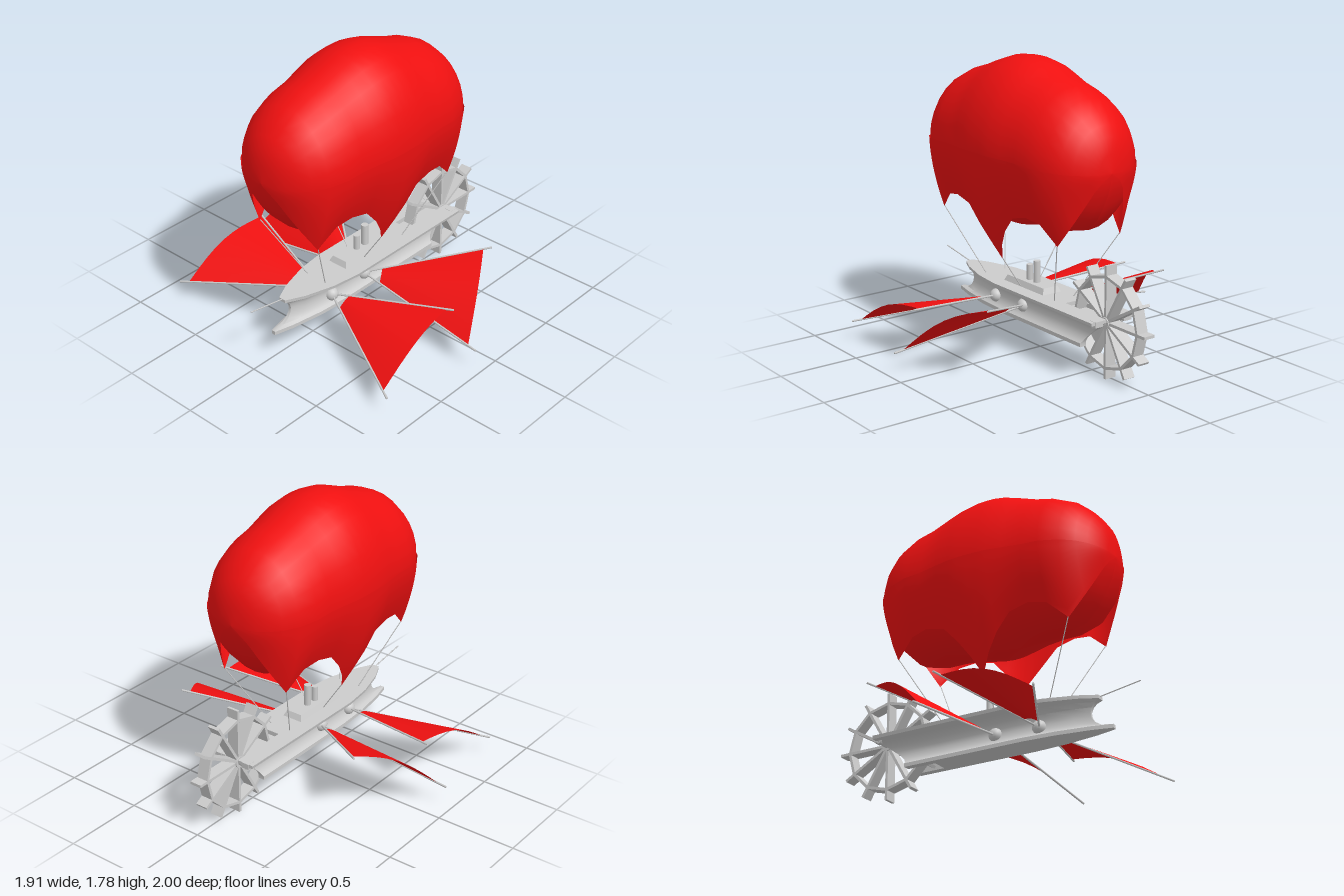
import * as THREE from 'three';
import { toCreasedNormals } from 'three/addons/utils/BufferGeometryUtils.js';

const grey = new THREE.MeshStandardMaterial({ color: 0xcccccc });
const red = new THREE.MeshStandardMaterial({ color: 0xf01010, side: THREE.DoubleSide });
const V = (x, y, z) => new THREE.Vector3(x, y, z);
const { lerp } = THREE.MathUtils;

function add(parent, name, geometry, material = grey, position = [0, 0, 0]) {
  const mesh = new THREE.Mesh(geometry, material);
  mesh.name = name;
  mesh.position.set(...position);
  parent.add(mesh);
  return mesh;
}

// Surface from a rule (u, v) -> point
function surface(nu, nv, rule) {
  const g = new THREE.PlaneGeometry(1, 1, nu, nv);
  const p = g.attributes.position, uv = g.attributes.uv;
  for (let i = 0; i < p.count; i++) p.setXYZ(i, ...rule(uv.getX(i), uv.getY(i)).toArray());
  g.computeVertexNormals();
  return g;
}

// Round rod between two points
function rod(parent, name, a, b, r) {
  const mesh = add(parent, name, new THREE.CylinderGeometry(r, r, a.distanceTo(b), 6));
  mesh.position.copy(a).lerp(b, 0.5);
  mesh.quaternion.setFromUnitVectors(V(0, 1, 0), b.clone().sub(a).normalize());
}

// Envelope stations from the middle to an end:
// [distance, half width, top, bottom, skirt edge x, skirt edge y]
const half = [
  [0, 0.403, 1.78, 0.76, 0.2, 0.57],
  [0.06, 0.402, 1.778, 0.765, 0.245, 0.68],
  [0.13, 0.398, 1.765, 0.78, 0.275, 0.78],
  [0.22, 0.383, 1.735, 0.8, 0.285, 0.88],
  [0.34, 0.364, 1.69, 0.81, 0.285, 0.91],
  [0.45, 0.36, 1.66, 0.81, 0.265, 0.89],
  [0.57, 0.325, 1.605, 0.84, 0.23, 0.78],
  [0.65, 0.275, 1.535, 0.92, 0.18, 0.92],
  [0.7, 0.22, 1.475, 1.0, 0.14, 1.02],
  [0.74, 0.155, 1.415, 1.08, 0.102, 1.11],
  [0.762, 0.085, 1.32, 1.15, 0.062, 1.165],
  [0.77, 0, 1.21, 1.21, 0, 1.21],
];
const stations = [...half.slice(1).reverse().map(([t, ...r]) => [-t, ...r]), ...half];
const midZ = 0.11;
const station = v => stations[Math.round(v * (stations.length - 1))];
const beltY = t => 1.25 - 0.04 * (t / 0.77) ** 2;

function buildEnvelope(root) {
  const rows = stations.length - 1;
  add(root, 'balloon', surface(28, rows, (u, v) => {
    const [t, w, top, bottom] = station(v);
    const a = u * Math.PI * 2 - Math.PI / 2, s = Math.sin(a), cy = beltY(t);
    return V(w * Math.cos(a), cy + s * (s > 0 ? top - cy : cy - bottom), midZ + t);
  }), red);

  // Scalloped cloth hanging over each flank
  const skirt = surface(10, rows, (u, v) => {
    const [t, w, , , ex, ey] = station(v);
    const d = 1 - u;
    return V(lerp(w * 1.02, ex, d ** 1.65), lerp(beltY(t), ey, d), midZ + t * 1.006);
  });
  for (const side of [1, -1]) {
    add(root, side > 0 ? 'leftSkirt' : 'rightSkirt', skirt, red).scale.x = side;
    rod(root, 'frontRope', V(side * 0.23, 0.785, 0.68), V(side * 0.07, 0.365, 0.46), 0.003);
    rod(root, 'middleRope', V(side * 0.2, 0.575, midZ), V(side * 0.06, 0.365, midZ), 0.003);
    rod(root, 'rearRope', V(side * 0.23, 0.785, -0.46), V(side * 0.07, 0.365, -0.23), 0.003);
  }
}

// Hull levels: [height, half width, bow z, stern z]
const levels = [
  [0.16, 0.09, 0.83, -0.5], [0.183, 0.09, 0.83, -0.5], [0.195, 0.075, 0.755, -0.505],
  [0.22, 0.06, 0.715, -0.52], [0.25, 0.053, 0.695, -0.55], [0.28, 0.055, 0.69, -0.59],
  [0.31, 0.07, 0.7, -0.63], [0.335, 0.11, 0.72, -0.67], [0.35, 0.155, 0.75, -0.685],
  [0.37, 0.16, 0.75, -0.685],
];

function buildHull(root) {
  // Plan outline (bow towards +y) with a slot for the wheel, then bent to each level
  const slot = 0.3;
  const edge = [[slot, -0.3], [slot, -1], [1, -1], [1, -0.5], [1, 0], [1, 0.35], [0.85, 0.6], [0.5, 0.85], [0.15, 1]];
  const plan = [...edge, ...edge.slice().reverse().map(([x, f]) => [-x, f])];
  const shape = new THREE.Shape(plan.map(([x, f]) => new THREE.Vector2(x, f)));
  const steps = levels.length - 1;
  const g = new THREE.ExtrudeGeometry(shape, { depth: steps, steps, bevelEnabled: false });
  const p = g.attributes.position;
  for (let i = 0; i < p.count; i++) {
    // x is mirrored so that the faces keep pointing outwards
    const x = -p.getX(i), f = p.getY(i);
    const [y, w, bow, stern] = levels[Math.round(p.getZ(i))];
    const inSlot = Math.abs(Math.abs(x) - slot) < 0.01;
    const z = f > 0 ? f * bow : inSlot && f > -0.5 ? -0.31 : -f * stern;
    p.setXYZ(i, inSlot ? Math.sign(x) * Math.min(0.048, w - 0.01) : x * w, y, z);
  }
  add(root, 'hull', toCreasedNormals(g, 0.6));

  // Cabin with sloped walls
  const cabin = new THREE.BoxGeometry(0.14, 0.04, 0.4);
  const c = cabin.attributes.position;
  for (let i = 0; i < c.count; i++) if (c.getY(i) > 0) c.setXYZ(i, c.getX(i) * 0.75, 0.02, c.getZ(i) * 0.9);
  add(root, 'cabin', toCreasedNormals(cabin, 0.3), grey, [0, 0.385, 0.08]);
  add(root, 'frontFunnel', new THREE.CylinderGeometry(0.02, 0.02, 0.11, 16), grey, [0, 0.445, 0.105]);
  add(root, 'rearFunnel', new THREE.CylinderGeometry(0.022, 0.022, 0.15, 16), grey, [0, 0.465, 0.033]);
  rod(root, 'bowsprit', V(0, 0.36, 0.7), V(0, 0.41, 1), 0.004);
}

function buildWheel(root) {
  const wheel = new THREE.Group();
  wheel.name = 'paddleWheel';
  wheel.position.set(0, 0.342, -0.66);
  root.add(wheel);
  const n = 12, step = Math.PI * 2 / n, r = 0.275;
  for (let i = 0; i < n; i++) {
    const arm = new THREE.Group();
    arm.name = 'wheelSegment';
    arm.rotation.x = i * step;
    wheel.add(arm);
    add(arm, 'paddle', new THREE.BoxGeometry(0.076, 0.34, 0.017), grey, [0, 0.17, 0]);
    const a = step / 2, m = r * Math.cos(a);
    add(arm, 'rim', new THREE.BoxGeometry(0.076, 0.017, 2 * r * Math.sin(a)), grey,
      [0, m * Math.cos(a), m * Math.sin(a)]).rotation.x = a;
  }
  add(wheel, 'axle', new THREE.CylinderGeometry(0.016, 0.016, 0.26, 12)).rotation.z = Math.PI / 2;
  add(wheel, 'hub', new THREE.CylinderGeometry(0.035, 0.035, 0.09, 12)).rotation.z = Math.PI / 2;
  for (const s of [1, -1]) add(wheel, 'bearing', new THREE.BoxGeometry(0.055, 0.035, 0.05), grey, [s * 0.105, 0.012, -0.005]);
}

// Fan of cloth between two spars, swinging on a ball joint
function buildFan(root, name, joint, a, b) {
  for (const side of [1, -1]) {
    const fan = new THREE.Group();
    fan.name = (side > 0 ? 'left' : 'right') + name;
    fan.scale.x = side;
    root.add(fan);
    add(fan, 'joint', new THREE.SphereGeometry(0.042, 16, 12), grey, joint.toArray());
    rod(fan, 'frontSpar', joint, a, 0.0065);
    rod(fan, 'rearSpar', joint, b, 0.0065);
    add(fan, 'sail', surface(12, 8, (u, v) => {
      const s = lerp(0.15, 0.935, u), bulge = s * Math.sin(v * Math.PI);
      const p = joint.clone().lerp(a.clone().lerp(b, v), s);
      return p.add(V(0.014 * bulge, 0.068 * bulge, 0));
    }), red);
  }
}

export function createModel() {
  const root = new THREE.Group();
  root.name = 'airship';
  buildEnvelope(root);
  buildHull(root);
  buildWheel(root);
  buildFan(root, 'FrontFan', V(0.05, 0.24, 0.385), V(0.85, 0.122, 0.795), V(0.8, 0.355, 0.155));
  buildFan(root, 'RearFan', V(0.05, 0.25, 0.1), V(0.955, 0.13, 0.135), V(0.655, 0.46, -0.38));
  return root;
}
